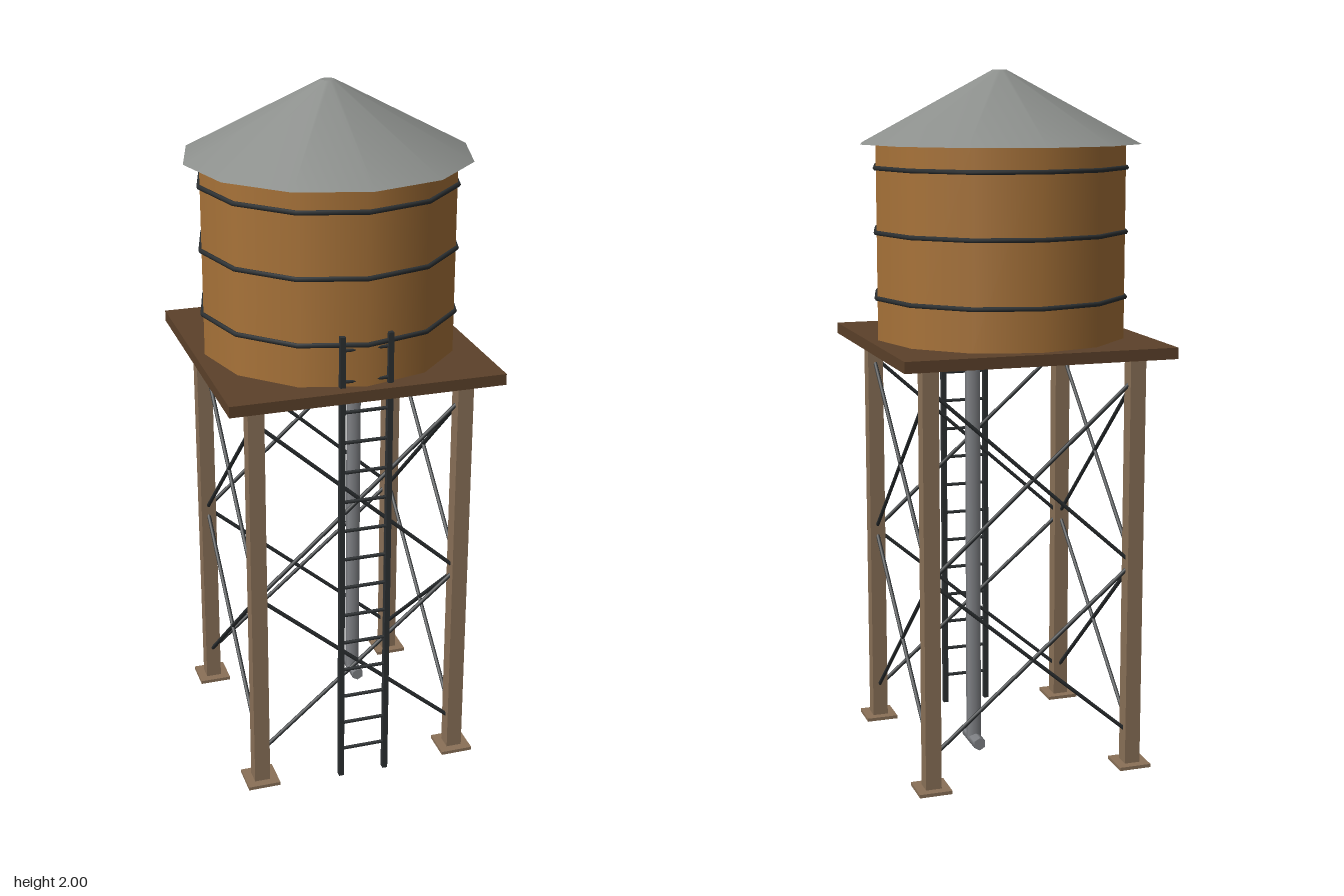
import * as THREE from 'three';

const mat = (name, color) => {
  const m = new THREE.MeshStandardMaterial({ color });
  m.name = name;
  return m;
};

export function createModel() {
  const tower = new THREE.Group();
  tower.name = 'waterTower';
  const planks = mat('tank wood', 0xa87339);
  const roofGrey = mat('roof metal', 0x8c8f8c);
  const deckWood = mat('platform wood', 0x5c412a);
  const legWood = mat('leg wood', 0x8a7158);
  const iron = mat('dark iron', 0x2c3032);
  const pipeGrey = mat('pipe metal', 0x808286);

  const add = (name, geometry, material, x = 0, y = 0, z = 0, parent = tower) => {
    const mesh = new THREE.Mesh(geometry, material);
    mesh.name = name;
    mesh.position.set(x, y, z);
    parent.add(mesh);
    return mesh;
  };
  const box = (w, h, d) => new THREE.BoxGeometry(w, h, d);

  // Thin round rod between two points
  const rod = (name, a, b, radius, material, parent) => {
    const dir = b.clone().sub(a);
    const mid = a.clone().add(b).multiplyScalar(0.5);
    const mesh = add(name, new THREE.CylinderGeometry(radius, radius, dir.length(), 6), material, mid.x, mid.y, mid.z, parent);
    mesh.quaternion.setFromUnitVectors(new THREE.Vector3(0, 1, 0), dir.normalize());
  };

  // Tank, hoops and roof
  add('tank', new THREE.CylinderGeometry(0.363, 0.363, 0.555, 12), planks, 0, 1.5225, 0);
  for (const y of [1.365, 1.55, 1.73]) {
    add('hoop', new THREE.TorusGeometry(0.365, 0.007, 6, 12), iron, 0, y, 0).rotation.x = Math.PI / 2;
  }
  add('roof', new THREE.CylinderGeometry(0.02, 0.407, 0.205, 12), roofGrey, 0, 1.8975, 0);

  // Platform
  add('platform', box(0.784, 0.032, 0.784), deckWood, 0, 1.229, 0);

  // Legs with foot plates
  const L = 0.302;
  for (const x of [-L, L]) {
    for (const z of [-L, L]) {
      add('leg', box(0.046, 1.215, 0.046), legWood, x, 0.6075, z);
      add('footPlate', box(0.095, 0.01, 0.095), legWood, x, 0.005, z);
    }
  }

  // Two tiers of crossed braces on each side
  for (let side = 0; side < 4; side++) {
    const braces = new THREE.Group();
    braces.name = 'sideBraces';
    braces.rotation.y = side * Math.PI / 2;
    tower.add(braces);
    for (const [top, bottom] of [[1.15, 0.61], [0.61, 0.095]]) {
      for (const s of [-1, 1]) {
        rod('brace', new THREE.Vector3(s * L, top, L), new THREE.Vector3(-s * L, bottom, L), 0.006, iron, braces);
      }
    }
  }

  // Ladder
  const ladder = new THREE.Group();
  ladder.name = 'ladder';
  tower.add(ladder);
  for (const x of [-0.068, 0.068]) add('ladderRail', box(0.015, 1.39, 0.018), iron, x, 0.695, 0.35, ladder);
  for (let i = 1; i <= 15; i++) {
    rod('rung', new THREE.Vector3(-0.068, i * 0.09, 0.35), new THREE.Vector3(0.068, i * 0.09, 0.35), 0.005, iron, ladder);
  }

  // Drain pipe and its spout
  add('drainPipe', new THREE.CylinderGeometry(0.022, 0.022, 1.155, 6), pipeGrey, 0.12, 0.6425, -0.12);
  add('spout', new THREE.CylinderGeometry(0.019, 0.019, 0.12, 6), pipeGrey, 0.12, 0.065, -0.12).rotation.x = Math.PI / 2;

  return tower;
}
